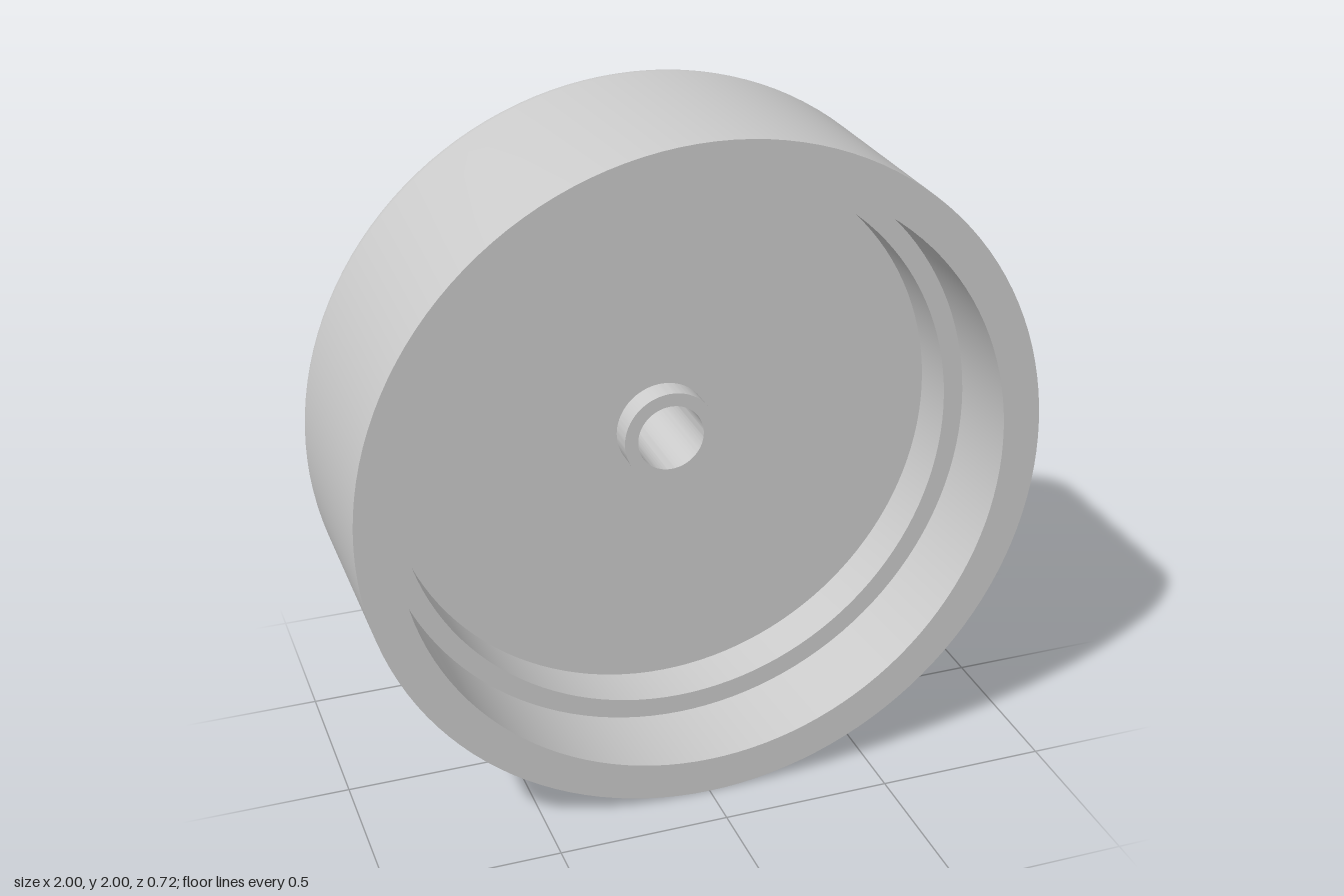
import * as THREE from 'three';
import { toCreasedNormals } from 'three/addons/utils/BufferGeometryUtils.js';

const BACK = -0.36, FRONT = 0.36, FILLET = 0.09;
const BORE = 0.1, PIN = 0.052, PIN_OFFSET = 0.29, PIN_DEPTH = 0.2;
const SEGMENTS = 128;

// Revolves a [radius, z] profile around the z axis, keeping corners sharp
function revolve(profile, segments) {
  const points = profile.map(([r, z]) => new THREE.Vector2(r, z));
  const geometry = new THREE.LatheGeometry(points, segments).rotateX(Math.PI / 2);
  return toCreasedNormals(geometry, 0.5);
}

function circlePath(x, y, r) {
  return new THREE.Path().absarc(x, y, r, 0, Math.PI * 2, true);
}

export function createModel() {
  const group = new THREE.Group();
  group.name = 'cup';
  const material = new THREE.MeshStandardMaterial({ color: 0xcccccc });
  const add = (name, geometry, x = 0, y = 0, z = 0) => {
    const mesh = new THREE.Mesh(geometry, material);
    mesh.name = name;
    mesh.position.set(x, y + 1, z);
    group.add(mesh);
  };

  // Body: rounded back edge, outer wall, stepped cavity, hub and through bore
  const profile = [];
  for (let i = 0; i <= 12; i++) {
    const a = (i / 12) * Math.PI / 2;
    profile.push([1 - FILLET + FILLET * Math.sin(a), BACK + FILLET * (1 - Math.cos(a))]);
  }
  profile.push(
    [1, FRONT], [0.888, FRONT],
    [0.888, 0.095], [0.828, 0.095],
    [0.828, -0.055], [0.14, -0.055],
    [0.14, 0.02], [BORE, 0.02], [BORE, BACK]
  );
  add('body', revolve(profile, SEGMENTS));

  // Back face with the bore and four pin holes cut out
  const face = new THREE.Shape().absarc(0, 0, 1 - FILLET, 0, Math.PI * 2, false);
  face.holes.push(circlePath(0, 0, BORE));
  const pins = [[1, 0], [0, 1], [-1, 0], [0, -1]].map((p) => p.map((v) => v * PIN_OFFSET));
  pins.forEach(([x, y]) => face.holes.push(circlePath(x, y, PIN)));
  add('backFace', new THREE.ShapeGeometry(face, SEGMENTS / 2).rotateY(Math.PI), 0, 0, BACK);

  // Blind pin holes
  const floor = BACK + PIN_DEPTH;
  const pinHole = revolve([[0, floor], [PIN, floor], [PIN, BACK]], SEGMENTS);
  pins.forEach(([x, y]) => add('pinHole', pinHole, x, y));

  return group;
}
